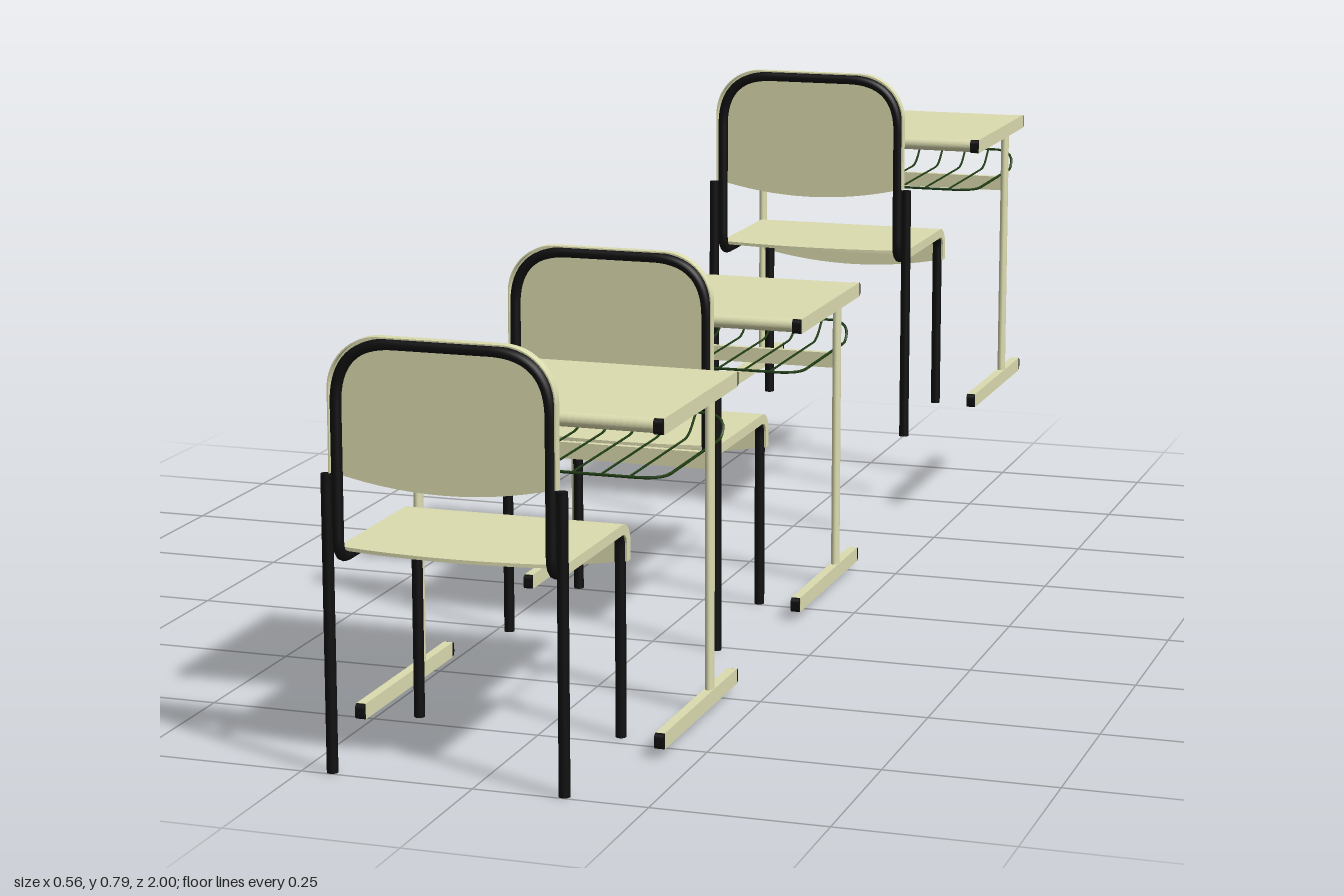
import * as THREE from 'three';

const V = (x, y, z) => new THREE.Vector3(x, y, z);
const cream = new THREE.MeshStandardMaterial({ color: 0xdcdcb0 });
const black = new THREE.MeshStandardMaterial({ color: 0x101010 });
const green = new THREE.MeshStandardMaterial({ color: 0x1f3d14 });

function add(group, name, geometry, material, x = 0, y = 0, z = 0) {
  const mesh = new THREE.Mesh(geometry, material);
  mesh.name = name;
  mesh.position.set(x, y, z);
  group.add(mesh);
  return mesh;
}

// Polyline whose inner corners are rounded; each point is [x, y, z, cornerLength]
function roundedPath(points) {
  const path = new THREE.CurvePath();
  let from = V(...points[0]);
  for (let i = 1; i < points.length; i++) {
    const p = V(...points[i]);
    if (i === points.length - 1) {
      path.add(new THREE.LineCurve3(from, p));
      break;
    }
    const r = points[i][3];
    const a = V(...points[i - 1]).sub(p).setLength(r).add(p);
    const b = V(...points[i + 1]).sub(p).setLength(r).add(p);
    path.add(new THREE.LineCurve3(from, a));
    path.add(new THREE.QuadraticBezierCurve3(a, p, b));
    from = b;
  }
  return path;
}

const tube = (points, radius, segments, sides = 8) =>
  new THREE.TubeGeometry(roundedPath(points), segments, radius, sides);

// Rounded rectangle in the z-y plane, extruded across x and centred
function roundedBar(width, height, length, r) {
  const a = length / 2, b = height / 2;
  const s = new THREE.Shape();
  s.moveTo(-a + r, -b);
  s.lineTo(a - r, -b);
  s.absarc(a - r, -b + r, r, -Math.PI / 2, 0);
  s.lineTo(a, b - r);
  s.absarc(a - r, b - r, r, 0, Math.PI / 2);
  s.lineTo(-a + r, b);
  s.absarc(-a + r, b - r, r, Math.PI / 2, Math.PI);
  s.lineTo(-a, -b + r);
  s.absarc(-a + r, -b + r, r, Math.PI, Math.PI * 1.5);
  return new THREE.ExtrudeGeometry(s, { depth: width, bevelEnabled: false, curveSegments: 6 })
    .rotateY(-Math.PI / 2).translate(width / 2, 0, 0);
}

function createDesk() {
  const desk = new THREE.Group();
  desk.name = 'desk';
  const midZ = 0.629, length = 0.342;
  add(desk, 'deskTop', roundedBar(0.433, 0.021, length, 0.0104), cream, 0, 0.468, midZ);

  for (const side of [-1, 1]) {
    const x = side * 0.223;
    // Top rail and floor foot: cream sleeve with black end caps
    for (const [name, y] of [['topRail', 0.4675], ['foot', 0.024]]) {
      add(desk, name + 'Caps', roundedBar(0.0135, 0.0225, length, 0.007), black, x, y, midZ);
      add(desk, name, new THREE.BoxGeometry(0.014, 0.023, length - 0.014), cream, x, y, midZ);
    }
    const post = new THREE.CylinderGeometry(0.011, 0.011, 0.43, 16).scale(0.58, 1, 1);
    add(desk, 'post', post, cream, x, 0.245, 0.571);
  }
  add(desk, 'crossbar', new THREE.BoxGeometry(0.44, 0.024, 0.01), cream, 0, 0.371, 0.571);

  // Wire book basket with an upturned back edge
  const w = 0.216, c = 0.04, y0 = 0.386, y1 = 0.415, zf = 0.76, zb = 0.5, ze = 0.467;
  add(desk, 'basketRim', tube([
    [0, y0, zf], [w, y0, zf, c], [w, y0, zb, 0.006], [w, y1, ze, 0.036],
    [-w, y1, ze, 0.036], [-w, y0, zb, 0.006], [-w, y0, zf, c], [0, y0, zf],
  ], 0.0022, 160, 6), green);
  for (let i = -4; i <= 4; i++) {
    add(desk, 'basketWire',
      tube([[0, y0, zf], [0, y0, zb, 0.02], [0, y1, ze]], 0.0018, 24, 6), green, i * 0.042);
  }
  return desk;
}

// Seat sheet: a box bent over the front edge, with bowed front and rear ends
function seatSheet(width, thickness, depthBelow, bow) {
  const rear = 0.968, bendZ = 0.739, top = 0.312, r = 0.032, drop = 0.025;
  const flat = rear - bendZ, arc = r * Math.PI / 2, total = flat + arc + drop;
  const g = new THREE.BoxGeometry(width, thickness, 1, bow ? 16 : 1, 1, 48);
  const p = g.attributes.position;
  for (let i = 0; i < p.count; i++) {
    const x = p.getX(i);
    const bulge = bow * (1 - (2 * x / width) ** 2);
    const s = THREE.MathUtils.lerp(-bulge, total + bulge, 0.5 - p.getZ(i));
    const d = thickness / 2 - p.getY(i) + depthBelow;
    if (s < flat) {
      p.setXYZ(i, x, top - d, rear - s);
    } else if (s < flat + arc) {
      const a = (s - flat) / r;
      p.setXYZ(i, x, top - r + (r - d) * Math.cos(a), bendZ - (r - d) * Math.sin(a));
    } else {
      p.setXYZ(i, x, top - r - (s - flat - arc), bendZ - r + d);
    }
  }
  g.computeVertexNormals();
  return g;
}

// Backrest outline: rounded top corners and a bowed lower edge
function backOutline(half, top, r) {
  const s = new THREE.Shape();
  s.moveTo(half, 0.42);
  s.lineTo(half, top - r);
  s.absarc(half - r, top - r, r, 0, Math.PI / 2);
  s.lineTo(-half + r, top);
  s.absarc(-half + r, top - r, r, Math.PI / 2, Math.PI);
  s.lineTo(-half, 0.42);
  s.quadraticCurveTo(0, 0.378, half, 0.42);
  return s;
}

// Thin band that wraps the sides and top of the backrest
function backRim(half, top, r, t) {
  const s = new THREE.Shape();
  s.moveTo(half, 0.42);
  s.lineTo(half, top - r);
  s.absarc(half - r, top - r, r, 0, Math.PI / 2);
  s.lineTo(-half + r, top);
  s.absarc(-half + r, top - r, r, Math.PI / 2, Math.PI);
  s.lineTo(-half, 0.42);
  s.lineTo(-half + t, 0.42);
  s.lineTo(-half + t, top - r);
  s.absarc(-half + r, top - r, r - t, Math.PI, Math.PI / 2, true);
  s.lineTo(half - r, top - t);
  s.absarc(half - r, top - r, r - t, Math.PI / 2, 0, true);
  s.lineTo(half - t, 0.42);
  return s;
}

function createChair() {
  const chair = new THREE.Group();
  chair.name = 'chair';
  const extrude = (shape, depth) =>
    new THREE.ExtrudeGeometry(shape, { depth, bevelEnabled: false, curveSegments: 14 });

  // One bent tube forms the front legs, seat sides and backrest hoop
  const h = 0.1525, zf = 0.72, zb = 0.992, ys = 0.3, yt = 0.6;
  const half = (x) => [[x, 0, zf], [x, ys, zf, 0.025], [x, ys, zb, 0.028], [x, yt, zb, 0.085]];
  add(chair, 'frameTube', tube([...half(-h), ...half(h).reverse()], 0.0078, 260, 10), black);

  for (const side of [-1, 1]) {
    const leg = new THREE.CylinderGeometry(0.008, 0.008, 0.418, 12);
    add(chair, 'rearLeg', leg, black, side * 0.168, 0.209, zb);
    add(chair, 'seatLip', seatSheet(0.003, 0.015, 0, 0), cream, side * 0.1615);
  }
  add(chair, 'seat', seatSheet(0.326, 0.005, 0, 0.018), cream);
  add(chair, 'backrest', extrude(backOutline(0.162, 0.61, 0.075), 0.005), cream, 0, 0, 0.984);
  add(chair, 'backrestRim', extrude(backRim(0.162, 0.61, 0.075, 0.002), 0.015), cream, 0, 0, 0.984);
  return chair;
}

export function createModel() {
  const model = new THREE.Group();
  model.name = 'classroomDesks';
  // Three identical places, the rearmost standing on a higher level
  const places = [[0, 0, 0], [-0.0225, 0, -0.728], [0.075, 0.182, -1.457]];
  places.forEach((position, i) => {
    const place = new THREE.Group();
    place.name = 'deskAndChair' + (i + 1);
    const desk = createDesk(), chair = createChair();
    desk.position.x = -0.027;
    chair.position.x = -0.039;
    place.add(desk, chair);
    place.position.set(...position);
    model.add(place);
  });
  return model;
}
